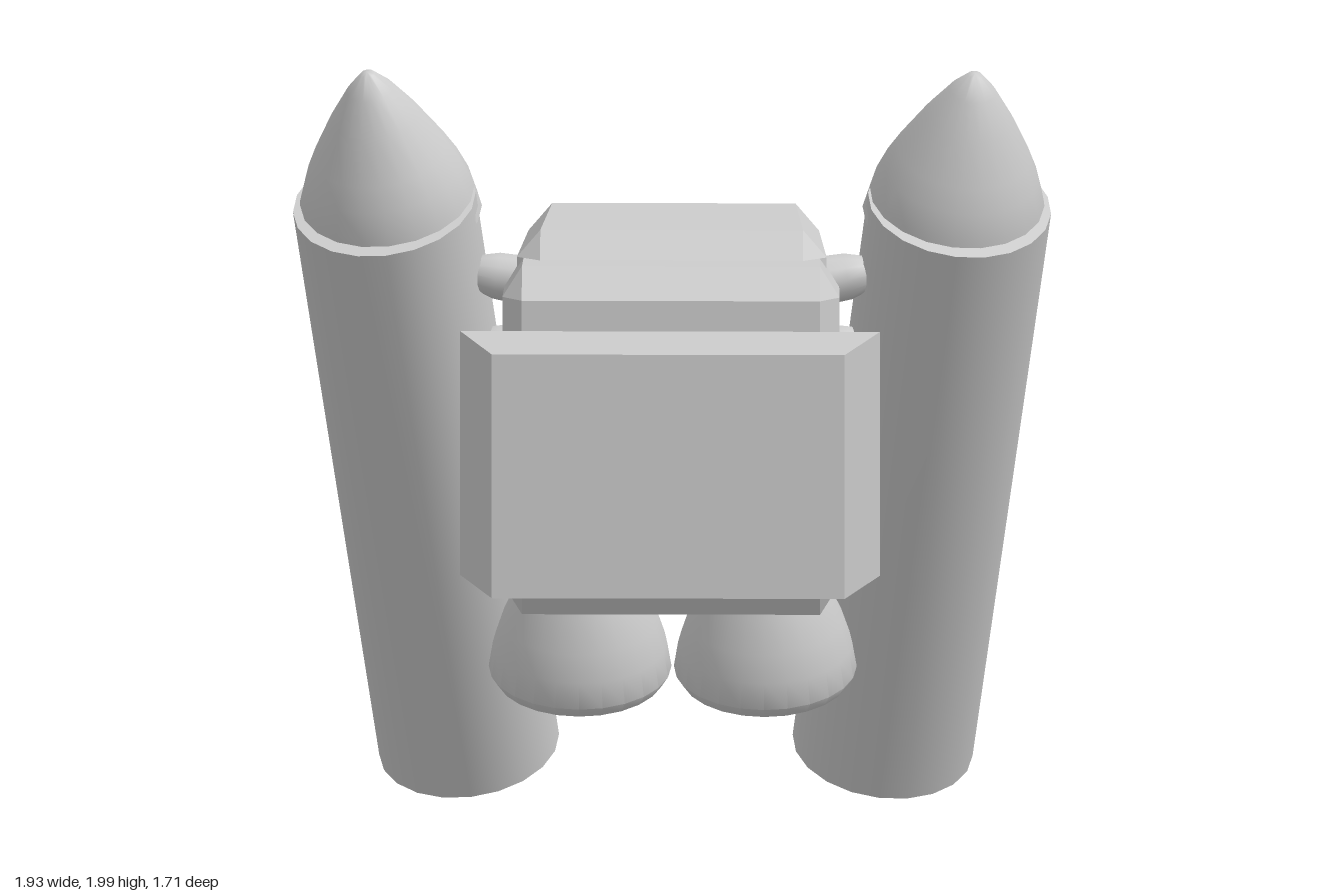
import * as THREE from 'three';
import { toCreasedNormals } from 'three/addons/utils/BufferGeometryUtils.js';
import { ConvexGeometry } from 'three/addons/geometries/ConvexGeometry.js';

const V = (x, y, z) => new THREE.Vector3(x, y, z);
const grey = new THREE.MeshStandardMaterial({ color: 0xcccccc });
grey.name = 'light grey';

function add(parent, name, geometry) {
  const mesh = new THREE.Mesh(geometry, grey);
  mesh.name = name;
  parent.add(mesh);
  return mesh;
}

// Turned part whose own base sits at `base` and whose axis points to `tip`.
function turned(parent, name, profile, base, tip, sides = 16) {
  const pts = profile.map(([r, y]) => new THREE.Vector2(r, y));
  const mesh = add(parent, name, toCreasedNormals(new THREE.LatheGeometry(pts, sides), 0.7));
  mesh.position.copy(base);
  mesh.quaternion.setFromUnitVectors(V(0, 1, 0), tip.clone().sub(base).normalize());
  return mesh;
}

// Box with chamfered edges; half width changes from back (wb) to front (wf).
function chamferedBox(wb, wf, y0, y1, z0, z1, cx, cy, cz) {
  const pts = [];
  for (const s of [-1, 1]) {
    for (const [y, dy] of [[y0, cy], [y1, -cy]]) {
      for (const [z, dz, w] of [[z0, cz, wb], [z1, -cz, wf]]) {
        pts.push(V(s * w, y + dy, z + dz));
        pts.push(V(s * (w - cx), y + dy, z));
        pts.push(V(s * (w - cx), y, z + dz));
      }
    }
  }
  return toCreasedNormals(new ConvexGeometry(pts), 0.3);
}

export function createModel() {
  const model = new THREE.Group();
  model.name = 'rocketPack';

  // Central pack: a front shell and a taller rear shell
  add(model, 'frontShell', chamferedBox(0.425, 0.43, 0.6, 1.5, 0.0, 0.355, 0.05, 0.08, 0.06));
  add(model, 'rearShell', chamferedBox(0.37, 0.395, 0.66, 1.57, -0.315, 0.21, 0.06, 0.07, 0.055));

  // Round port on the back
  const port = add(model, 'rearPort', new THREE.CylinderGeometry(0.15, 0.15, 0.1, 24));
  port.rotation.x = Math.PI / 2;
  port.position.set(0, 1.235, -0.34);

  // Separate block in front, narrower towards the front
  const block = new THREE.BoxGeometry(1.07, 0.63, 0.36);
  const p = block.attributes.position;
  for (let i = 0; i < p.count; i++) if (p.getZ(i) > 0) p.setX(i, p.getX(i) * 0.841);
  block.computeVertexNormals();
  add(model, 'frontBlock', block).position.set(0, 1.05, 0.675);

  for (const [side, s] of [['left', 1], ['right', -1]]) {
    const half = new THREE.Group();
    half.name = side + 'Side';
    model.add(half);

    // Leaning booster tube
    const foot = V(s * 0.527, 0.106, -0.647);
    const head = V(s * 0.733, 1.634, 0.112);
    const length = foot.distanceTo(head);
    turned(half, side + 'Booster', [[0, 0], [0.231, 0], [0.235, length], [0, length]], foot, head, 20);

    // Pointed nose cap, set slightly back on the tube
    turned(half, side + 'Nose', [[0, 0], [0.235, 0], [0.222, 0.08], [0.2, 0.145], [0.172, 0.205],
      [0.115, 0.31], [0.06, 0.395], [0.018, 0.443], [0, 0.448]],
      V(s * 0.718, 1.588, 0.058), V(s * 0.775, 1.99, 0.242), 20);

    // Bell nozzle with closed mouth
    turned(half, side + 'Nozzle', [[0, 0], [0.215, 0], [0.233, 0.03], [0.222, 0.1], [0.2, 0.17],
      [0.165, 0.25], [0.12, 0.34], [0, 0.36]],
      V(s * 0.236, 0.385, -0.04), V(s * 0.236, 0.725, 0.08), 24);

    // Rounded struts between the pack and the booster
    for (const [y, z, x] of [[1.42, 0.07, 0.52], [1.22, -0.02, 0.5], [1.02, -0.14, 0.48]]) {
      turned(half, side + 'Strut', [[0.065, 0], [0.06, 0.1], [0.045, 0.15], [0, 0.18]],
        V(s * (x - 0.17), y, z), V(s * x, y + 0.03, z), 12);
    }

    // Small pointed peg low on the shell side
    turned(half, side + 'Peg', [[0, 0], [0.06, 0], [0, 0.08]],
      V(s * 0.41, 0.84, 0.13), V(s * 0.46, 0.86, 0.13), 6);
  }
  return model;
}
